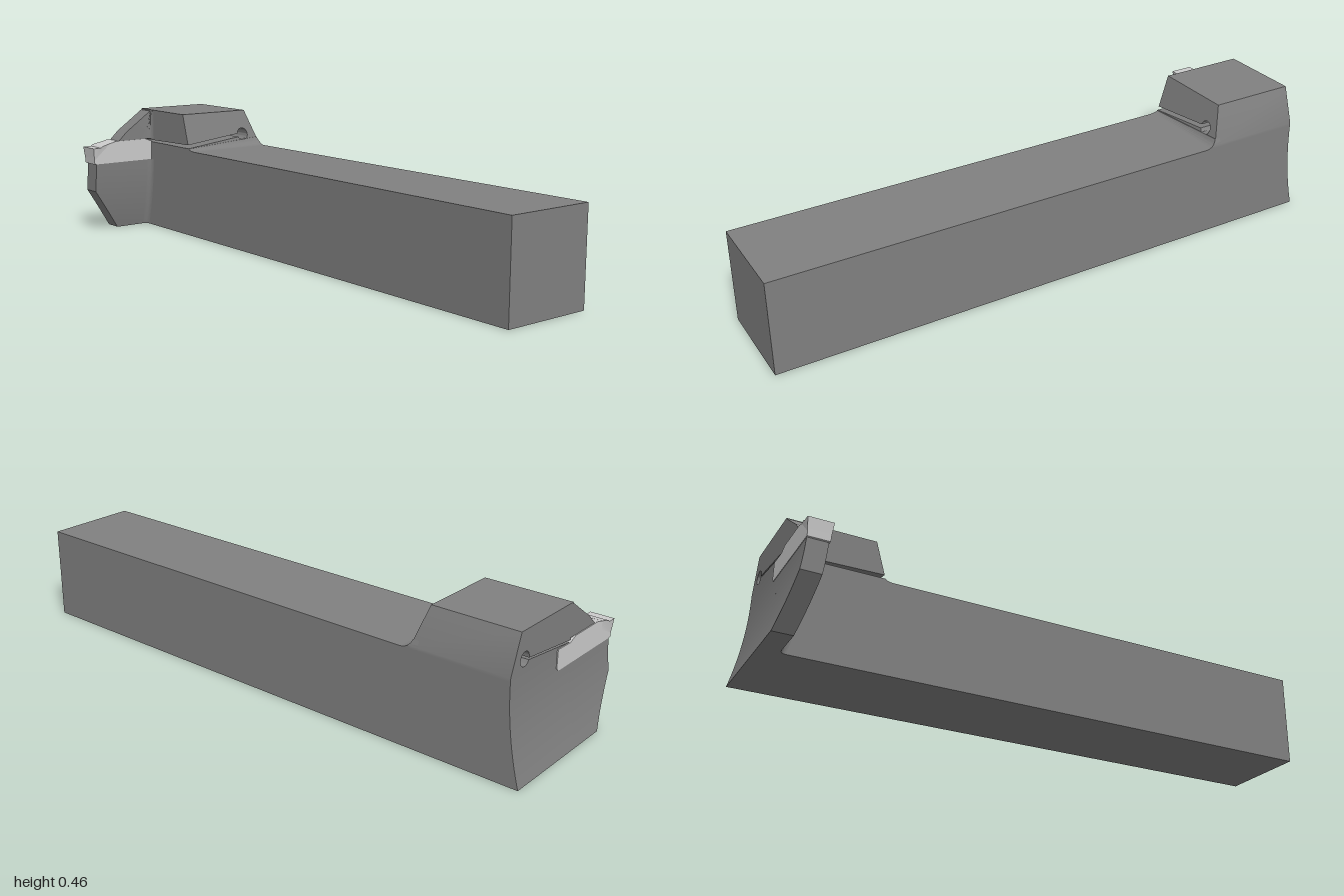
import * as THREE from 'three';
import { toCreasedNormals } from 'three/addons/utils/BufferGeometryUtils.js';

const steel = new THREE.MeshStandardMaterial({ color: 0x808080 });
const carbide = new THREE.MeshStandardMaterial({ color: 0xcccccc });

// Concave rear face, and the plane of the head's sloping front
const rearZ = (y) => -0.953 - 0.047 * Math.max(0, (0.33 - y) / 0.33) ** 2;
const headFrontZ = (y) => -0.612 - 0.296 * (y - 0.325);
const LEFT = -0.035, RIGHT = 0.292, SHANK_TOP = 0.325;

// Solid through stacked rings of [x, y, z], front edge running towards +x
function loft(rings) {
  const n = rings[0].length, index = [];
  const positions = rings.flat(2);
  for (let i = 0; i < rings.length - 1; i++) {
    for (let j = 0; j < n; j++) {
      const a = i * n + j, b = i * n + (j + 1) % n;
      index.push(a, b, b + n, a, b + n, a + n);
    }
  }
  const cap = (ring) => THREE.ShapeUtils.triangulateShape(ring.map(([x, , z]) => new THREE.Vector2(x, -z)), []);
  const top = (rings.length - 1) * n;
  cap(rings[0]).forEach(([a, b, c]) => index.push(a, c, b));
  cap(rings[rings.length - 1]).forEach(([a, b, c]) => index.push(top + a, top + b, top + c));
  const g = new THREE.BufferGeometry();
  g.setAttribute('position', new THREE.Float32BufferAttribute(positions, 3));
  g.setIndex(index);
  return g;
}

// Extrude an x-y outline by one unit, then move each vertex by a rule
function extrudeBy(shape, rule) {
  const g = new THREE.ExtrudeGeometry(shape, { depth: 1, bevelEnabled: false, curveSegments: 32 });
  const p = g.attributes.position;
  for (let i = 0; i < p.count; i++) p.setXYZ(i, ...rule(p.getX(i), p.getY(i), p.getZ(i) > 0.5));
  return g;
}

const outline = (pts) => new THREE.Shape(pts.map(([x, y]) => new THREE.Vector2(x, y)));
const range = (n, a, b) => Array.from({ length: n + 1 }, (_, i) => a + (b - a) * i / n);

// Horizontal section of the thin blade, with a fillet where it meets the body
function bladeRing(y, xLeft) {
  const back = rearZ(y), front = back + 0.068, r = 0.02;
  const arc = range(6, 0, Math.PI / 2).map((a) => [
    Math.max(xLeft + 0.001, LEFT - r + r * Math.sin(a)), y, front + r * (1 - Math.cos(a))]);
  return [[xLeft, y, front], ...arc, [-0.03, y, front + r], [-0.03, y, back], [xLeft, y, back]];
}

export function createModel() {
  const group = new THREE.Group();
  const add = (name, geometry, material = steel) => {
    const mesh = new THREE.Mesh(toCreasedNormals(geometry, 0.4), material);
    mesh.name = name;
    group.add(mesh);
  };

  // Square shank running into the lower head
  add('shank', loft(range(16, 0, SHANK_TOP).map((y) => [
    [LEFT, y, 1], [RIGHT, y, 1], [RIGHT, y, rearZ(y)], [LEFT, y, rearZ(y)]])));

  // Raised clamping head with relief hole and slit
  const head = outline([[LEFT, SHANK_TOP], [RIGHT, SHANK_TOP], [RIGHT, 0.335], [0.248, 0.46], [LEFT, 0.46], [LEFT, 0.347]]);
  const deg = Math.PI / 180;
  head.absarc(0.222, 0.37, 0.023, 172 * deg, -156 * deg, true);
  head.lineTo(LEFT, 0.334);
  add('clampingHead', extrudeBy(head, (x, y, front) => {
    // the slit narrows towards the rear
    const onSlitTop = x < 0.2 && Math.abs(y - 0.347 - 0.111 * (x - LEFT)) < 0.002;
    if (front) return [x, y, headFrontZ(y)];
    return [x, onSlitTop ? y - 0.007 : y, rearZ(y)];
  }));

  // Fillet between shank and head, kept below the slit
  add('headFillet', loft(range(8, 0, Math.PI / 2).map((a) => {
    const at = (x, h, back) => {
      const y = SHANK_TOP + h * (1 - Math.cos(a));
      const z = back ? -0.64 : headFrontZ(y) + 0.002 + 0.03 * (1 - Math.sin(a));
      return [x - (x > 0 ? 0.35 * Math.max(0, y - 0.335) : 0), y, z];
    };
    return [at(LEFT, 0.008), at(RIGHT, 0.03), at(RIGHT, 0.03, true), at(LEFT, 0.008, true)];
  })));

  // Curved support blade below the insert
  const bladeLeft = (y) => -0.17 - 0.11 * Math.min(1, y / 0.157);
  add('supportBlade', loft([...range(8, 0, 0.157), ...range(6, 0.157, 0.265).slice(1)]
    .map((y) => bladeRing(y, bladeLeft(y)))));

  // Clamping finger above the insert
  add('clampFinger', loft([[0.347, -0.18], [0.38, -0.145], [0.455, -0.038]].map(([y, x]) => bladeRing(y, x))));

  // Cutting insert: body and slightly wider tip
  const insert = outline([[-0.288, 0.265], [-0.293, 0.326], [-0.262, 0.326], [-0.255, 0.332], [-0.195, 0.347],
    [-0.06, 0.347], [-0.03, 0.334], [0.04, 0.336], [0.04, 0.275], [0.03, 0.265]]);
  add('cuttingInsert', extrudeBy(insert, (x, y, front) => [x, y, front ? -0.884 : -0.9565]), carbide);

  const tip = outline([[-0.289, 0.28], [-0.225, 0.31], [-0.22, 0.341], [-0.255, 0.333], [-0.262, 0.327], [-0.294, 0.327]]);
  add('cuttingTip', extrudeBy(tip, (x, y, front) => {
    const flare = x > -0.24 || y < 0.3 ? 0 : 0.005;
    return [x, y, front ? -0.884 + flare : -0.9565 - flare];
  }), carbide);

  return group;
}
